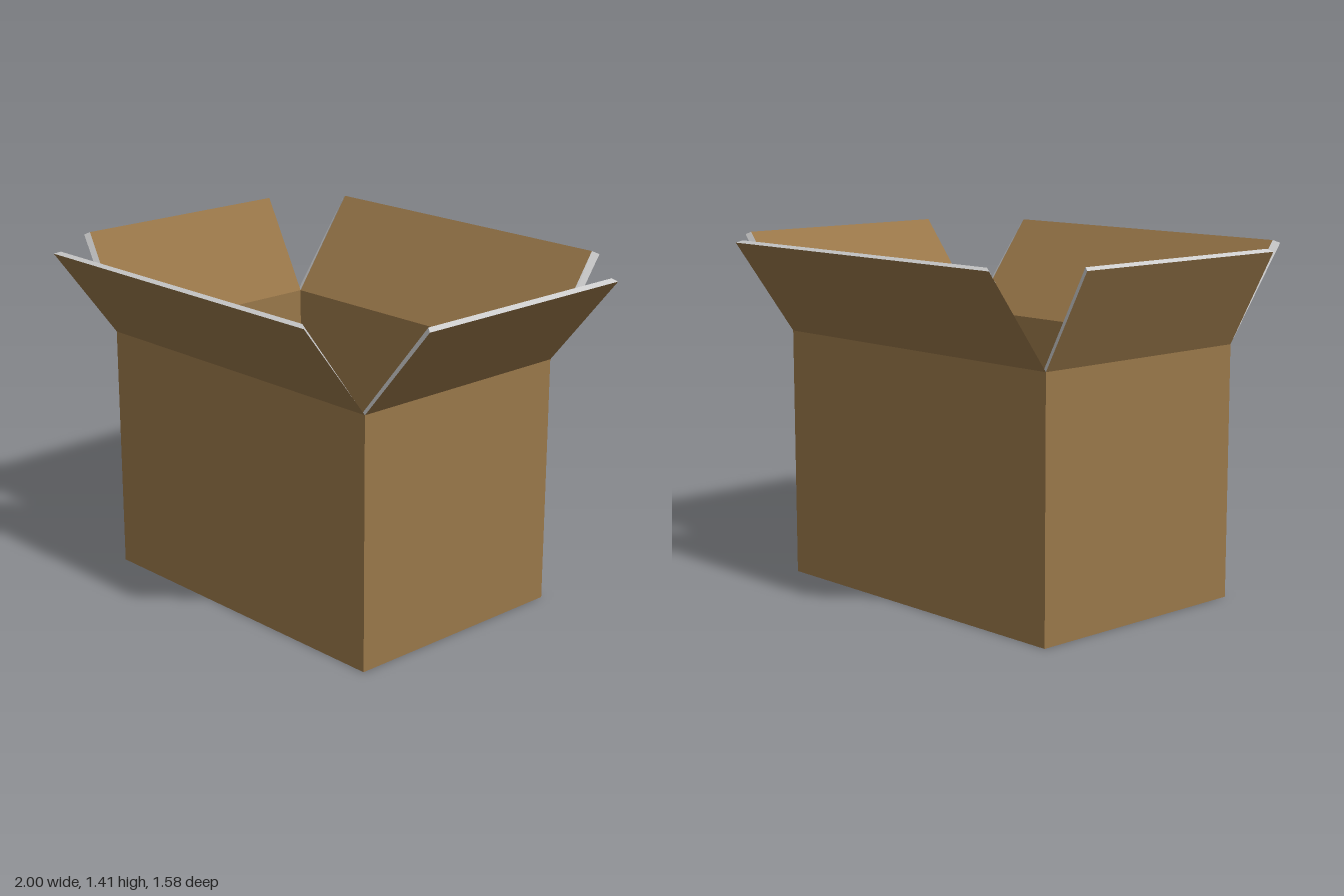
import * as THREE from 'three';

const card = new THREE.MeshStandardMaterial({ color: 0x997749, flatShading: true });
const cut = new THREE.MeshStandardMaterial({ color: 0xcccccc, flatShading: true });

const HEIGHT = 1.02, SHEET = 0.018;
// Corner rings [x, z], starting front left as seen from the front
const OUTER = [[-0.8, 0.495], [0.68, 0.495], [0.68, -0.515], [-0.8, -0.515]];
const INNER = [[-0.775, 0.48], [0.653, 0.48], [0.653, -0.503], [-0.775, -0.503]];
const SIDES = ['front', 'left', 'back', 'right'];

// Mesh of flat quads, each counter-clockwise from its visible side
function quads(list, material, name) {
  const geometry = new THREE.BufferGeometry();
  const points = list.flatMap(([a, b, c, d]) => [a, b, c, a, c, d]).flat();
  geometry.setAttribute('position', new THREE.Float32BufferAttribute(points, 3));
  geometry.computeVertexNormals();
  const mesh = new THREE.Mesh(geometry, material);
  mesh.name = name;
  return mesh;
}

// Cardboard sheet: brown on both faces, pale along the cut edges
function sheet(name, outer, inner) {
  const group = new THREE.Group();
  group.name = name;
  const rim = outer.map((p, i) => {
    const j = (i + 1) % 4;
    return [outer[j], p, inner[i], inner[j]];
  });
  group.add(quads([outer, [...inner].reverse()], card, name + 'Faces'));
  group.add(quads(rim, cut, name + 'Edges'));
  return group;
}

export function createModel() {
  const box = new THREE.Group();
  box.name = 'openCardboardBox';

  // Outer and inner tip of each raised flap: [x or z, y]
  const tips = [
    [[0.787, 1.398], [0.77, 1.408]],
    [[0.997, 1.395], [0.975, 1.406]],
    [[-0.79, 1.398], [-0.775, 1.408]],
    [[-1.0, 1.395], [-0.98, 1.406]],
  ];
  // Where each folded bottom flap ends, in x or z
  const bottomEnds = [0, 0.177, -0.025, -0.3];

  SIDES.forEach((side, i) => {
    const j = (i + 1) % 4;
    const axis = i % 2 ? 0 : 1;
    const at = (ring, k, y) => [ring[k][0], y, ring[k][1]];
    const moved = (ring, k, to, y) => {
      const p = [...ring[k]];
      p[axis] = to;
      return [p[0], y, p[1]];
    };

    // Mitred wall
    const wall = (ring, y) => [at(ring, i, y), at(ring, j, y), at(ring, j, HEIGHT), at(ring, i, HEIGHT)];
    box.add(sheet(side + 'Wall', wall(OUTER, 0), wall(INNER, SHEET)));

    // Raised flap with bevelled cut edges
    const flap = (ring, [to, y]) =>
      [at(ring, i, HEIGHT), at(ring, j, HEIGHT), moved(ring, j, to, y), moved(ring, i, to, y)];
    box.add(sheet(side + 'TopFlap', flap(OUTER, tips[i][0]), flap(INNER, tips[i][1])));

    // Folded bottom flap; the side pair lies above the front and back pair
    const base = (ring, y) => [at(ring, j, y), at(ring, i, y),
      moved(ring, i, bottomEnds[i], y), moved(ring, j, bottomEnds[i], y)];
    box.add(axis === 1
      ? sheet(side + 'BottomFlap', base(OUTER, 0), base(INNER, SHEET))
      : sheet(side + 'BottomFlap', base(INNER, SHEET + 0.002), base(INNER, 2 * SHEET)));
  });

  return box;
}
